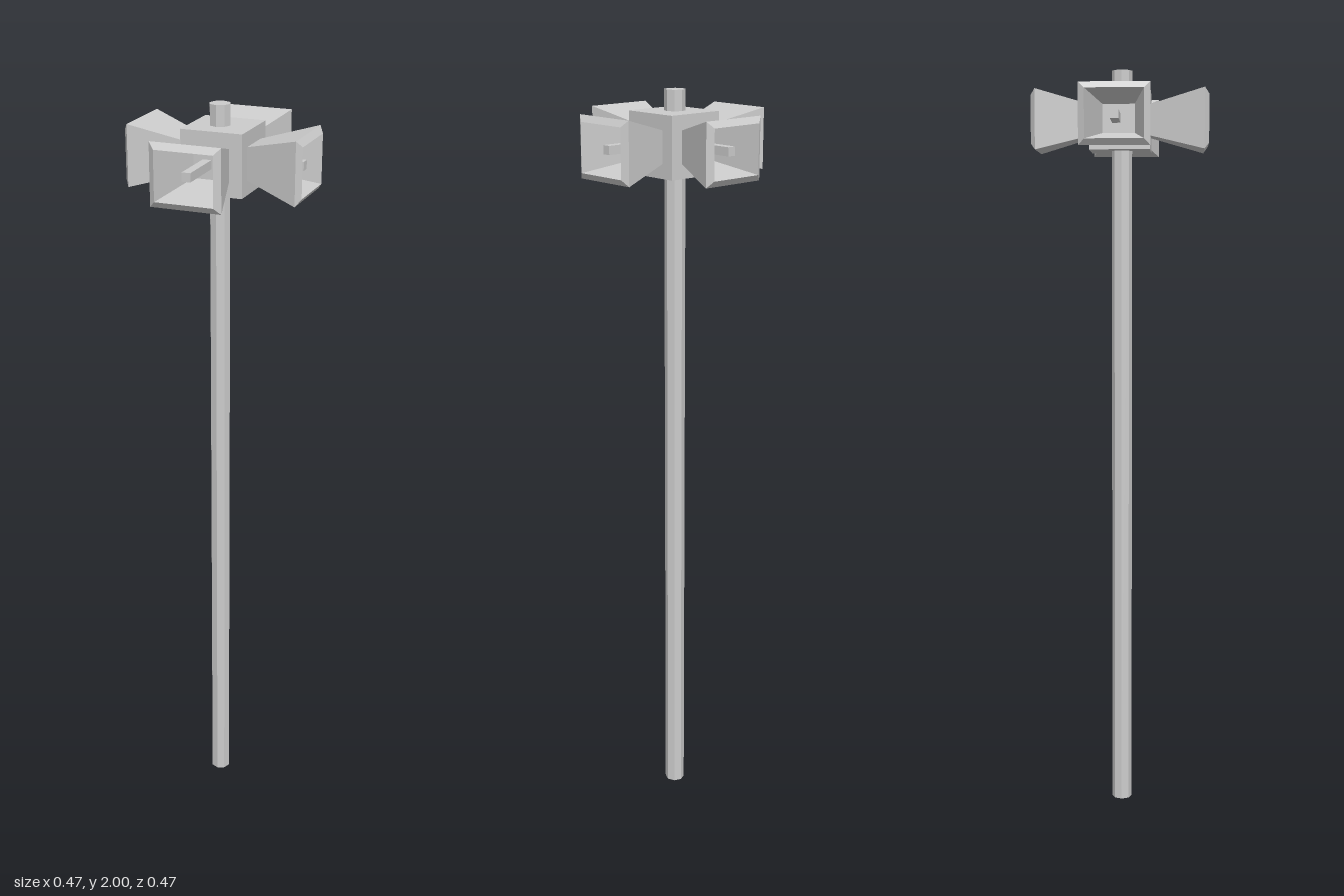
import * as THREE from 'three';

const material = new THREE.MeshStandardMaterial({ color: 0xcccccc, flatShading: true });
const HEAD_Y = 1.87;

function addMesh(parent, name, geometry, x, y, z) {
  const mesh = new THREE.Mesh(geometry, material);
  mesh.name = name;
  mesh.position.set(x, y, z);
  parent.add(mesh);
  return mesh;
}

// Joins rectangular sections [centreX, halfWidth, halfHeight, z] into a shell, closing the last one.
function rectLoft(sections) {
  const positions = [];
  const rings = sections.map(([cx, w, h, z]) => [
    [cx - w, -h, z], [cx + w, -h, z], [cx + w, h, z], [cx - w, h, z],
  ]);
  const quad = (a, b, c, d) => [a, b, c, a, c, d].forEach((p) => positions.push(...p));
  for (let i = 0; i < rings.length - 1; i++) {
    for (let j = 0; j < 4; j++) {
      const k = (j + 1) % 4;
      quad(rings[i][j], rings[i][k], rings[i + 1][k], rings[i + 1][j]);
    }
  }
  quad(...rings[rings.length - 1]);
  const geometry = new THREE.BufferGeometry();
  geometry.setAttribute('position', new THREE.Float32BufferAttribute(positions, 3));
  geometry.computeVertexNormals();
  return geometry;
}

// Hollow horn facing +z: flared outside, bevelled lip, inner flare and throat.
function createHorn() {
  const horn = new THREE.Group();
  horn.name = 'horn';
  addMesh(horn, 'hornShell', rectLoft([
    [0, 0.046, 0.04, 0.078],
    [-0.008, 0.091, 0.078, 0.221],
    [-0.008, 0.075, 0.062, 0.233],
    [-0.002, 0.042, 0.037, 0.085],
  ]), 0, 0, 0);
  addMesh(horn, 'hornRod', new THREE.BoxGeometry(0.022, 0.022, 0.135), -0.008, 0, 0.1475);
  return horn;
}

export function createModel() {
  const model = new THREE.Group();
  model.name = 'hornSirenPole';

  // Pole, slightly off the axis of the head
  addMesh(model, 'pole', new THREE.CylinderGeometry(0.027, 0.027, 2, 8), -0.009, 1, 0.003);

  // Head with four horns, one on each side
  const head = new THREE.Group();
  head.name = 'head';
  head.position.set(-0.002, HEAD_Y, -0.001);
  model.add(head);
  addMesh(head, 'hub', new THREE.BoxGeometry(0.16, 0.156, 0.16), 0, 0, 0);
  for (let i = 0; i < 4; i++) {
    const horn = createHorn();
    horn.name = ['frontHorn', 'leftHorn', 'backHorn', 'rightHorn'][i];
    horn.rotation.y = (i * Math.PI) / 2;
    head.add(horn);
  }
  return model;
}
